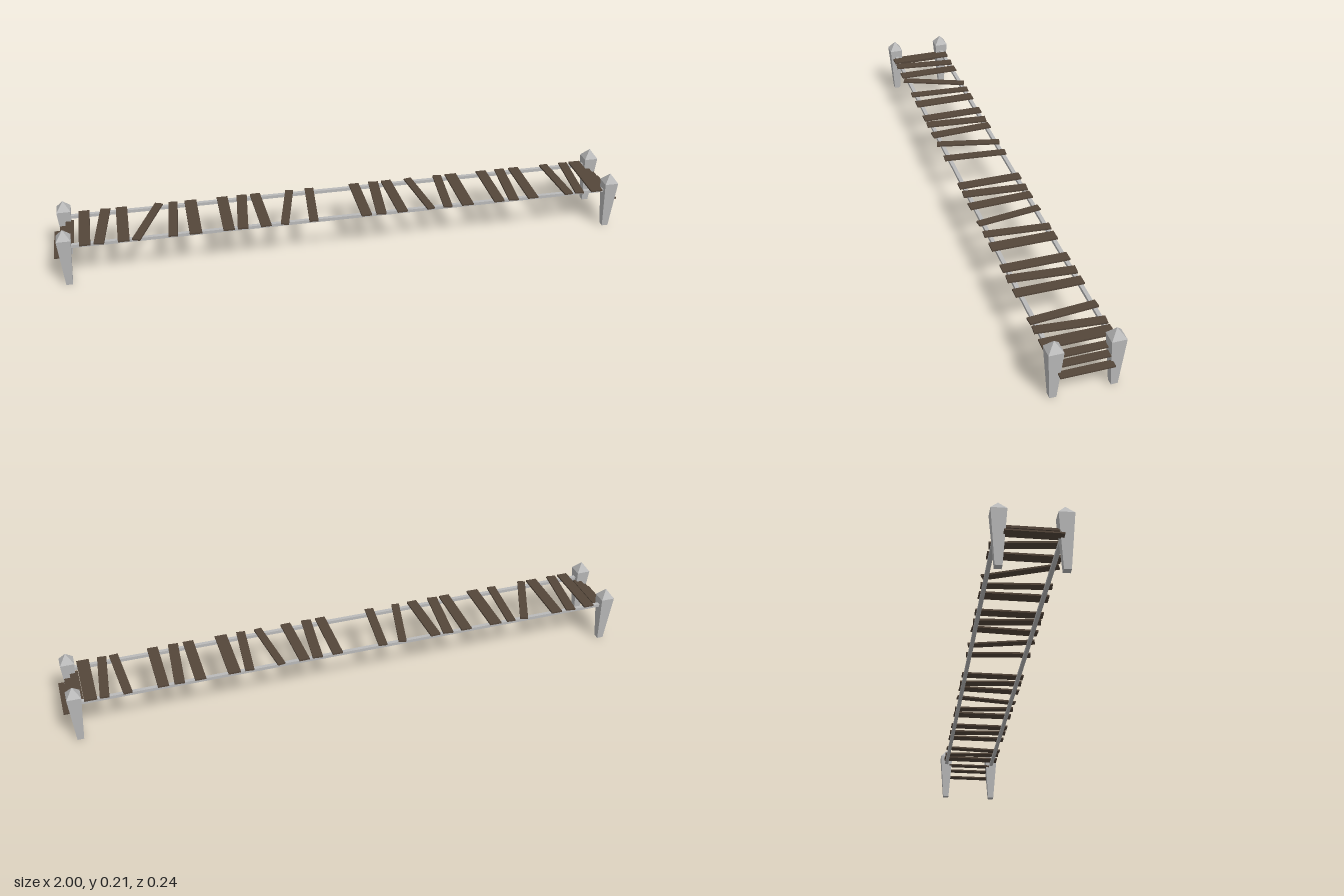
import * as THREE from 'three';

export function createModel() {
  const group = new THREE.Group();
  const stone = new THREE.MeshStandardMaterial({ color: 0xbababa });
  stone.name = 'pale stone';
  const wood = new THREE.MeshStandardMaterial({ color: 0x54463a });
  wood.name = 'dark wood';

  const add = (name, geometry, material, x, y, z, turn = 0) => {
    const mesh = new THREE.Mesh(geometry, material);
    mesh.name = name;
    mesh.position.set(x, y, z);
    mesh.rotation.y = turn;
    group.add(mesh);
    return mesh;
  };

  // Square frustum or pyramid with flat faces
  const taper = (top, bottom, height) => {
    const g = new THREE.CylinderGeometry(top * Math.SQRT2, bottom * Math.SQRT2, height, 4);
    g.rotateY(Math.PI / 4);
    const flat = g.toNonIndexed();
    flat.computeVertexNormals();
    return flat;
  };

  // Tapered corner posts with pointed caps
  const shaft = taper(0.024, 0.011, 0.178);
  const cap = taper(0, 0.024, 0.032);
  for (const x of [-0.96, 0.96]) {
    for (const z of [-0.096, 0.096]) {
      add('postShaft', shaft, stone, x, 0.089, z);
      add('postCap', cap, stone, x, 0.194, z);
    }
  }

  // Long side rails
  for (const z of [-0.096, 0.096]) {
    add('rail', new THREE.BoxGeometry(1.92, 0.011, 0.013), stone, 0, 0.146, z);
  }

  // Loose deck planks: [x at back end, x at front end, width]
  const planks = [
    [-0.893, -0.893, 0.037], [-0.82, -0.847, 0.034], [-0.765, -0.765, 0.039],
    [-0.635, -0.725, 0.028], [-0.585, -0.602, 0.031], [-0.525, -0.525, 0.042],
    [-0.413, -0.413, 0.038], [-0.343, -0.366, 0.036], [-0.296, -0.286, 0.036],
    [-0.172, -0.223, 0.028], [-0.1, -0.122, 0.031], [0.064, 0.064, 0.036],
    [0.136, 0.116, 0.035], [0.183, 0.192, 0.036], [0.264, 0.294, 0.027],
    [0.375, 0.355, 0.031], [0.427, 0.427, 0.042], [0.543, 0.543, 0.037],
    [0.614, 0.596, 0.035], [0.668, 0.668, 0.037], [0.785, 0.802, 0.03],
    [0.862, 0.842, 0.031], [0.907, 0.907, 0.042],
  ];
  const back = -0.107, front = 0.116;
  for (const [xb, xf, width] of planks) {
    const length = Math.hypot(xf - xb, front - back);
    add('plank', new THREE.BoxGeometry(width, 0.006, length), wood,
      (xb + xf) / 2, 0.155, (back + front) / 2, Math.atan2(xf - xb, front - back));
  }

  // Steps descending outward at both ends
  const steps = [[0.943, 0.137], [0.964, 0.12], [0.986, 0.098]];
  for (const side of [-1, 1]) {
    for (const [x, y] of steps) {
      add('step', new THREE.BoxGeometry(0.028, 0.005, 0.17), wood, side * x, y, 0.002);
    }
  }
  return group;
}
